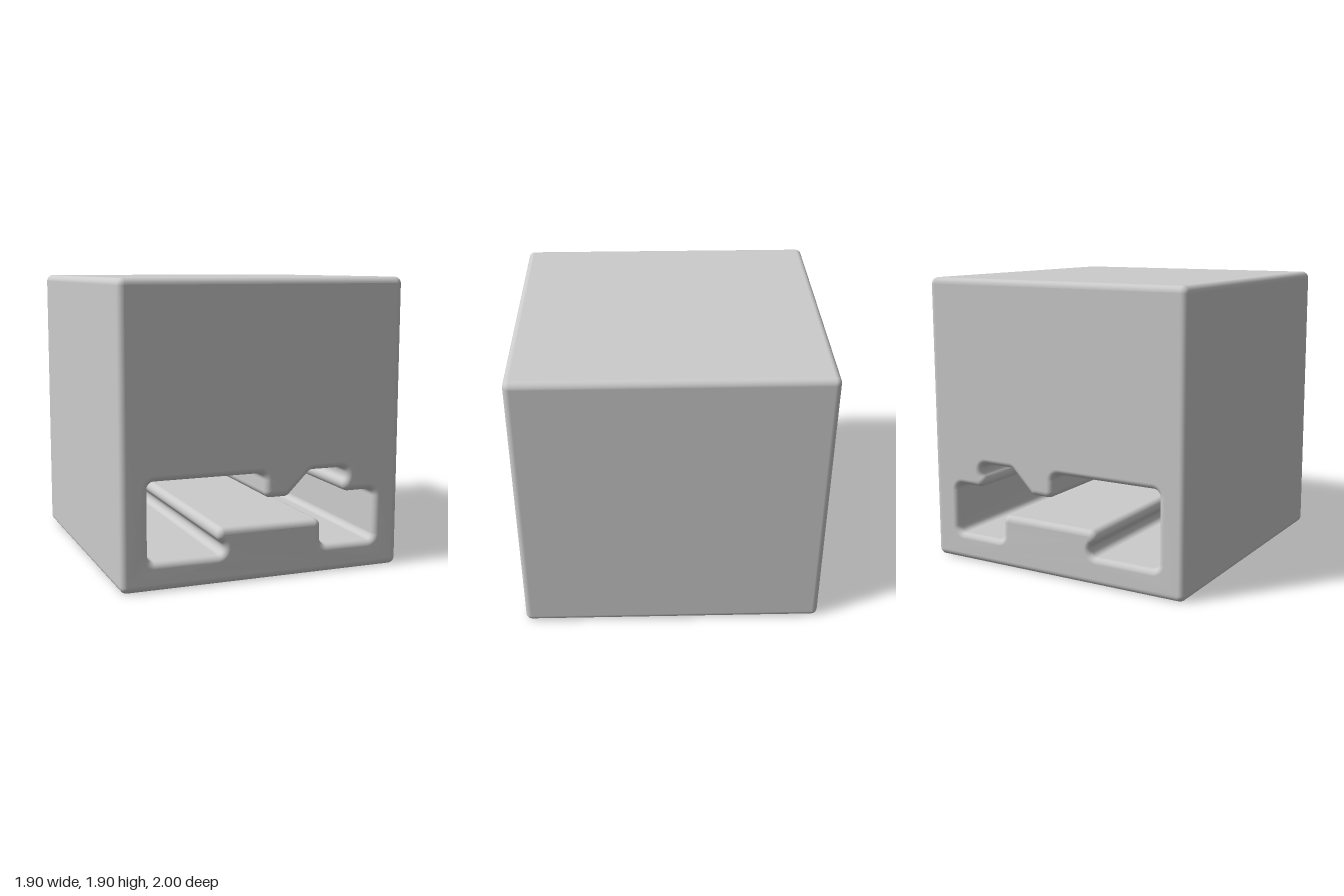
import * as THREE from 'three';
import { mergeVertices } from 'three/addons/utils/BufferGeometryUtils.js';

const FILLET = 0.045, BEVEL = 0.04, STEPS = 8;

// Replace every corner of a closed outline by a tangent arc
function filleted(corners, radius) {
  const pts = corners.map(([x, y]) => new THREE.Vector2(x, y));
  const out = [];
  pts.forEach((p, i) => {
    const a = pts[(i + pts.length - 1) % pts.length].clone().sub(p).normalize();
    const b = pts[(i + 1) % pts.length].clone().sub(p).normalize();
    const half = Math.acos(a.dot(b)) / 2;
    const centre = a.clone().add(b).normalize().multiplyScalar(radius / Math.sin(half)).add(p);
    const start = p.clone().addScaledVector(a, radius / Math.tan(half));
    const turn = Math.sign(b.cross(a)) * -(Math.PI - 2 * half);
    for (let k = 0; k <= STEPS; k++) {
      out.push(start.clone().rotateAround(centre, -turn * k / STEPS));
    }
  });
  return out;
}

export function createModel() {
  const group = new THREE.Group();

  // Square block outline
  const shape = new THREE.Shape(filleted(
    [[-0.95, 0], [0.95, 0], [0.95, 1.9], [-0.95, 1.9]], FILLET));

  // Stepped channel running from front to back
  shape.holes.push(new THREE.Path(filleted([
    [-0.775, 0.68], [-0.005, 0.68], [-0.005, 0.52], [0.155, 0.52], [0.315, 0.68],
    [0.57, 0.68], [0.57, 0.612], [0.545, 0.583], [0.545, 0.52],
    [0.77, 0.52], [0.77, 0.18], [0.39, 0.18], [0.39, 0.355],
    [-0.325, 0.355], [-0.325, 0.29], [-0.28, 0.245], [-0.28, 0.18], [-0.775, 0.18],
  ], FILLET)));

  let geometry = new THREE.ExtrudeGeometry(shape, {
    depth: 2 - 2 * BEVEL,
    bevelThickness: BEVEL,
    bevelSize: BEVEL,
    bevelOffset: -BEVEL,
    bevelSegments: 6,
  });
  geometry.translate(0, 0, BEVEL - 1);

  // Weld so that all rounded edges shade smoothly
  geometry.deleteAttribute('uv');
  geometry.deleteAttribute('normal');
  geometry = mergeVertices(geometry, 1e-5);
  geometry.computeVertexNormals();

  const block = new THREE.Mesh(geometry, new THREE.MeshStandardMaterial({ color: 0xcccccc }));
  block.name = 'channelledBlock';
  group.add(block);
  return group;
}
